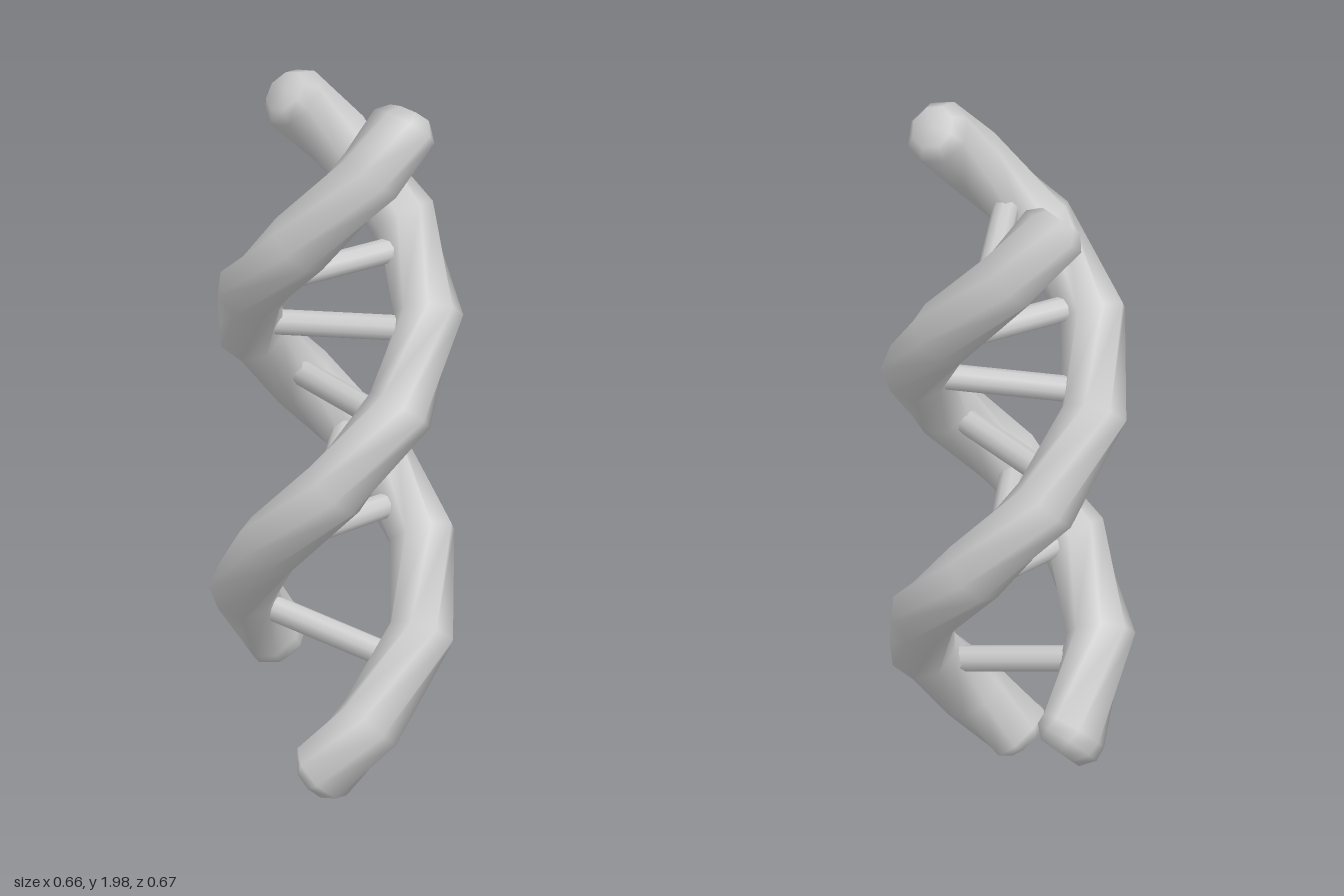
import * as THREE from 'three';

const R = 0.245;        // helix radius
const TUBE = 0.092;     // strand thickness
const SIDES = 8;
const TURN = 225;       // degrees turned per unit of height
const RAD = Math.PI / 180;
const material = new THREE.MeshStandardMaterial({ color: 0xcccccc });

// Each strand: a reference ring (angle a0 at height y0) and its end heights
const strandA = { a0: 79, y0: 0.61, bottom: 0.05, top: 1.95 };
const strandB = { a0: 101, y0: 1.5, bottom: 0.25, top: 1.855 };

function helixPoint(s, y) {
  const a = (s.a0 + (y - s.y0) * TURN) * RAD;
  return new THREE.Vector3(R * Math.sin(a), y, R * Math.cos(a));
}

// Coarse tube swept along the helix with bevelled, closed ends
function makeStrand(s, name) {
  const bevel = 0.025;
  const rings = [[s.bottom, 0.66], [s.bottom + bevel, 1]];
  for (let k = -12; k <= 12; k++) {
    const y = s.y0 + k * 0.2;
    if (y > s.bottom + bevel + 0.015 && y < s.top - bevel - 0.015) rings.push([y, 1]);
  }
  rings.push([s.top - bevel, 1], [s.top, 0.66]);

  const pos = [], index = [];
  for (const [y, scale] of rings) {
    const c = helixPoint(s, y);
    const n = new THREE.Vector3(c.x, 0, c.z).normalize();
    const w = TURN * RAD;
    const t = new THREE.Vector3(c.z * w, 1, -c.x * w).normalize();
    const b = new THREE.Vector3().crossVectors(t, n);
    for (let j = 0; j < SIDES; j++) {
      const phi = j / SIDES * Math.PI * 2;
      const p = c.clone()
        .addScaledVector(n, TUBE * scale * Math.cos(phi))
        .addScaledVector(b, TUBE * scale * Math.sin(phi));
      pos.push(p.x, p.y, p.z);
    }
  }
  const first = helixPoint(s, s.bottom), last = helixPoint(s, s.top);
  pos.push(first.x, first.y, first.z, last.x, last.y, last.z);

  const end = rings.length * SIDES;
  for (let j = 0; j < SIDES; j++) {
    const k = (j + 1) % SIDES;
    for (let i = 0; i < rings.length - 1; i++) {
      const p = i * SIDES, q = p + SIDES;
      index.push(p + j, p + k, q + k, p + j, q + k, q + j);
    }
    index.push(end, k, j, end + 1, end - SIDES + j, end - SIDES + k);
  }
  const geo = new THREE.BufferGeometry();
  geo.setAttribute('position', new THREE.Float32BufferAttribute(pos, 3));
  geo.setIndex(index);
  geo.computeVertexNormals();
  const mesh = new THREE.Mesh(geo, material);
  mesh.name = name;
  return mesh;
}

// Straight rod between two points
function makeRung(a, b, name) {
  const dir = b.clone().sub(a);
  const mesh = new THREE.Mesh(new THREE.CylinderGeometry(0.035, 0.035, dir.length() * 0.9, 10), material);
  mesh.position.copy(a).add(b).multiplyScalar(0.5);
  mesh.quaternion.setFromUnitVectors(new THREE.Vector3(0, 1, 0), dir.normalize());
  mesh.name = name;
  return mesh;
}

export function createModel() {
  const group = new THREE.Group();
  group.name = 'doubleHelix';
  group.add(makeStrand(strandA, 'firstStrand'), makeStrand(strandB, 'secondStrand'));

  // Rung heights where they meet the first and second strand
  const rungs = [[0.345, 0.45], [0.69, 0.70], [0.88, 0.88], [1.06, 1.07],
    [1.255, 1.27], [1.435, 1.445], [1.70, 1.63]];
  rungs.forEach(([ya, yb], i) => {
    group.add(makeRung(helixPoint(strandA, ya), helixPoint(strandB, yb), 'rung' + (i + 1)));
  });
  return group;
}
